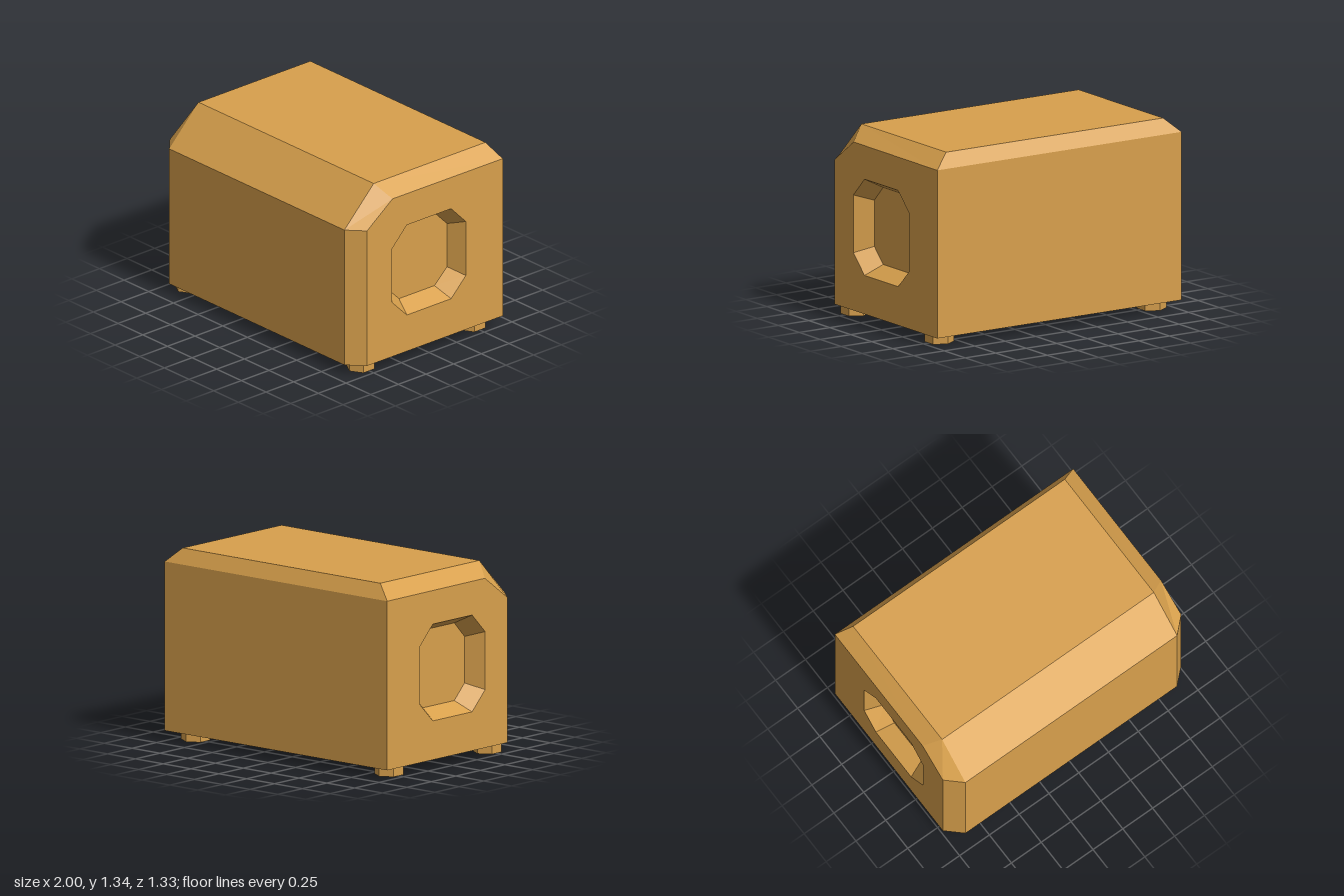
import * as THREE from 'three';

const material = new THREE.MeshStandardMaterial({ color: 0xd8a04c, flatShading: true });

// Outlines are [z, y] points running up the front, over the top and down the back
const BODY = [[0.665, 0.07], [0.665, 1.07], [0.4, 1.335], [-0.61, 1.335], [-0.667, 1.235], [-0.667, 0.07]];
const SIDE = [[0.56, 0.07], [0.56, 1.07], [0.33, 1.238], [-0.667, 1.235], [-0.667, 1.235], [-0.667, 0.07]];
const RIM = [[0.333, 0.47], [0.333, 0.87], [0.2, 1.005], [-0.2, 1.005],
  [-0.333, 0.87], [-0.333, 0.47], [-0.2, 0.338], [0.2, 0.338]];
const FLOOR = [[0.265, 0.51], [0.265, 0.83], [0.16, 0.94], [-0.165, 0.94],
  [-0.275, 0.83], [-0.275, 0.51], [-0.16, 0.405], [0.16, 0.405]];

// Skin between cross-sections; faces outward when x rises, inward when it falls
function loft(sections) {
  const positions = [];
  for (let i = 0; i < sections.length - 1; i++) {
    const [p, q] = [sections[i], sections[i + 1]];
    const n = p.outline.length;
    for (let j = 0; j < n; j++) {
      const at = (s, k) => [s.x, s.outline[k % n][1], s.outline[k % n][0]];
      const [a, b, c, d] = [at(p, j), at(q, j), at(q, j + 1), at(p, j + 1)];
      positions.push(...a, ...b, ...c, ...a, ...c, ...d);
    }
  }
  const geometry = new THREE.BufferGeometry();
  geometry.setAttribute('position', new THREE.Float32BufferAttribute(positions, 3));
  geometry.computeVertexNormals();
  return geometry;
}

// Flat panel at x, facing away from the centre
function panel(outline, x, hole) {
  const side = Math.sign(x);
  const points = (o) => o.map(([z, y]) => new THREE.Vector2(-side * z, y));
  const shape = new THREE.Shape(points(outline));
  if (hole) shape.holes.push(new THREE.Path(points(hole)));
  return new THREE.ShapeGeometry(shape).rotateY(side * Math.PI / 2).translate(x, 0, 0);
}

export function createModel() {
  const model = new THREE.Group();
  const add = (name, geometry) => {
    const mesh = new THREE.Mesh(geometry, material);
    mesh.name = name;
    model.add(mesh);
    return mesh;
  };

  // Main shell with bevelled ends
  add('bodyShell', loft([
    { x: -1, outline: SIDE }, { x: -0.888, outline: BODY },
    { x: 0.888, outline: BODY }, { x: 1, outline: SIDE },
  ]));

  for (const [side, label] of [[1, 'left'], [-1, 'right']]) {
    // Side panel with an octagonal recess
    add(`${label}SidePanel`, panel(SIDE.filter((_, i) => i !== 4), side, RIM));
    const rings = [{ x: side, outline: RIM }, { x: side * 0.875, outline: FLOOR }];
    add(`${label}RecessWall`, loft(side > 0 ? rings : rings.reverse()));
    add(`${label}RecessFloor`, panel(FLOOR, side * 0.875));

    // Six-sided feet
    for (const [z, end] of [[0.503, 'Front'], [-0.5, 'Back']]) {
      add(`${label}${end}Foot`, new THREE.CylinderGeometry(0.1, 0.1, 0.07, 6))
        .position.set(side * 0.868, 0.035, z);
    }
  }
  return model;
}
